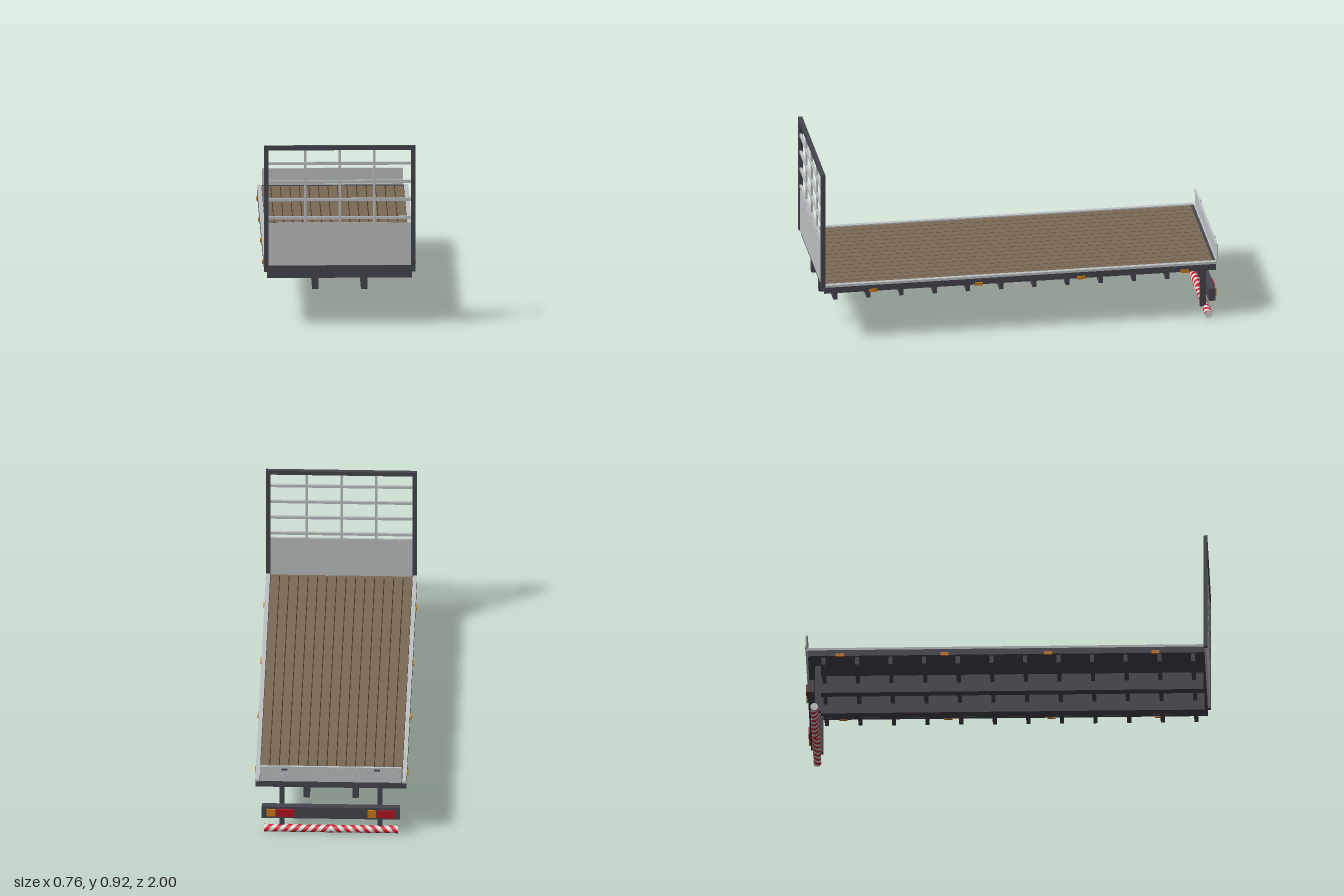
import * as THREE from 'three';
import { mergeGeometries } from 'three/addons/utils/BufferGeometryUtils.js';

const mat = (name, color, extra = {}) => {
  const m = new THREE.MeshStandardMaterial({ color, ...extra });
  m.name = name;
  return m;
};

// Box given by its minimum and maximum on each axis
const span = (x0, x1, y0, y1, z0, z1) =>
  new THREE.BoxGeometry(x1 - x0, y1 - y0, z1 - z0)
    .translate((x0 + x1) / 2, (y0 + y1) / 2, (z0 + z1) / 2);

// Diagonal stripe wound round a tube lying along x, clipped to 0..length
function stripe(start, width, pitch, length, radius, side) {
  const pos = [], nor = [], idx = [], n = 32;
  for (let i = 0; i <= n; i++) {
    const t = (i / n) * Math.PI * 2;
    const ny = -Math.cos(t), nz = Math.sin(t);
    for (const e of [0, width]) {
      const x = THREE.MathUtils.clamp(start + e + (pitch * i) / n, 0, length);
      pos.push(side * x, ny * radius, nz * radius);
      nor.push(0, ny, nz);
    }
    if (i < n) {
      const a = i * 2;
      if (side > 0) idx.push(a, a + 1, a + 2, a + 1, a + 3, a + 2);
      else idx.push(a, a + 2, a + 1, a + 1, a + 2, a + 3);
    }
  }
  const g = new THREE.BufferGeometry();
  g.setAttribute('position', new THREE.Float32BufferAttribute(pos, 3));
  g.setAttribute('normal', new THREE.Float32BufferAttribute(nor, 3));
  g.setIndex(idx);
  return g;
}

export function createModel() {
  const root = new THREE.Group();
  root.name = 'flatbedBody';
  const steel = mat('dark steel', 0x45454f);
  const alloy = mat('light alloy', 0xbec2c4);
  const wood = mat('deck wood', 0x7b6a57);
  const gap = mat('plank gap', 0x3a3129);
  const amber = mat('amber lens', 0xd07c14);
  const redLens = mat('red lens', 0xb5141f);
  const red = mat('stripe red', 0xd3202c);
  const white = mat('stripe white', 0xd9dcdc);

  const add = (name, material, geos) => {
    const m = new THREE.Mesh(Array.isArray(geos) ? mergeGeometries(geos) : geos, material);
    m.name = name;
    root.add(m);
    return m;
  };
  const sides = [-1, 1];
  const both = (x0, x1, ...r) => [span(x0, x1, ...r), span(-x1, -x0, ...r)];

  // Deck: base plate, edge beams and planks
  add('deckBase', steel, span(-0.355, 0.355, 0.276, 0.304, -0.97, 0.975));
  add('edgeBeams', steel, [
    ...both(0.355, 0.375, 0.275, 0.307, -0.98, 0.985),
    span(-0.355, 0.355, 0.275, 0.307, 0.972, 0.985),
    span(-0.355, 0.355, 0.275, 0.316, -0.982, -0.968),
  ]);
  add('sideRails', alloy, both(0.354, 0.375, 0.307, 0.319, -0.985, 0.98));
  add('plankGaps', gap, span(-0.354, 0.354, 0.304, 0.308, -0.968, 0.972));
  const planks = [], pitch = 0.708 / 15;
  for (let i = 0; i < 15; i++) {
    const x = -0.354 + i * pitch;
    planks.push(span(x + 0.002, x + pitch - 0.002, 0.306, 0.314, -0.968, 0.979));
  }
  add('planks', wood, planks);

  // Underframe
  add('chassisRails', steel, both(0.105, 0.137, 0.185, 0.276, -0.93, 0.975));
  const cross = [];
  for (let i = 0; i < 12; i++) {
    const z = 0.928 - i * 0.1667;
    cross.push(span(-0.36, 0.36, 0.235, 0.276, z - 0.01, z + 0.01));
  }
  add('crossMembers', steel, cross);

  // Headboard: dark frame, lower panel and open grille
  add('headboardFrame', steel, [
    ...both(0.353, 0.375, 0.308, 0.915, 0.98, 1),
    span(-0.353, 0.353, 0.893, 0.915, 0.98, 1),
  ]);
  add('headboardPanel', alloy, span(-0.353, 0.353, 0.31, 0.524, 0.985, 0.995));
  const bars = [0.55, 0.642, 0.733, 0.825]
    .map((y) => span(-0.353, 0.353, y - 0.007, y + 0.007, 0.984, 0.997));
  for (const x of [-0.172, 0, 0.172])
    bars.push(span(x - 0.006, x + 0.006, 0.524, 0.893, 0.986, 0.995));
  add('headboardBars', alloy, bars);

  // Tail flap with folded edges, tread bumps on its rear face and two latches
  add('tailFlap', alloy, [
    span(-0.35, 0.35, 0.315, 0.4, -0.994, -0.989),
    span(-0.35, 0.35, 0.395, 0.4, -0.989, -0.983),
    span(-0.35, 0.35, 0.315, 0.32, -0.989, -0.983),
  ]);
  const bumps = [];
  for (let r = 0; r < 5; r++)
    for (let c = 0; c < 40; c++)
      bumps.push(new THREE.BoxGeometry(0.01, 0.003, 0.002)
        .rotateZ(((r + c) % 2 ? 1 : -1) * Math.PI / 4)
        .translate(-0.336 + c * 0.01723, 0.327 + r * 0.0155, -0.9945));
  add('tailFlapTread', alloy, bumps);
  add('tailLatches', steel, both(0.215, 0.245, 0.382, 0.39, -1, -0.994));

  // Rear bumper with legs and lamps
  add('bumperLegs', steel, both(0.232, 0.256, 0.03, 0.276, -0.95, -0.92));
  add('bumperBeam', steel, span(-0.343, 0.343, 0.095, 0.16, -0.984, -0.95));
  for (const s of sides) {
    const x = s * 0.25;
    add('rearIndicator', amber, span(x + 0.025, x + 0.068, 0.108, 0.148, -0.993, -0.984));
    add('rearLamp', redLens, span(x - 0.068, x + 0.02, 0.108, 0.148, -0.993, -0.984));
  }

  // Side marker lamps
  for (const z of [0.742, 0.209, -0.304, -0.824])
    add('sideMarkers', amber, both(0.37, 0.381, 0.271, 0.287, z - 0.02, z + 0.02));

  // Striped warning tube, mirrored about the middle
  const L = 0.333, w = L / 14, R = 0.019;
  const bands = [[], []];
  for (const s of sides)
    for (let j = -4; j < 14; j++)
      bands[(j + 4) % 2].push(stripe(j * w, w, 4 * w, L, R, s));
  const tube = [add('tubeRedStripes', red, bands[0]), add('tubeWhiteStripes', white, bands[1])];
  tube.push(add('tubeEnds', white, sides.map((s) =>
    new THREE.CircleGeometry(R, 32).rotateY((s * Math.PI) / 2).translate(s * L, 0, 0))));
  tube.forEach((m) => m.position.set(0, R, -0.952));

  return root;
}
